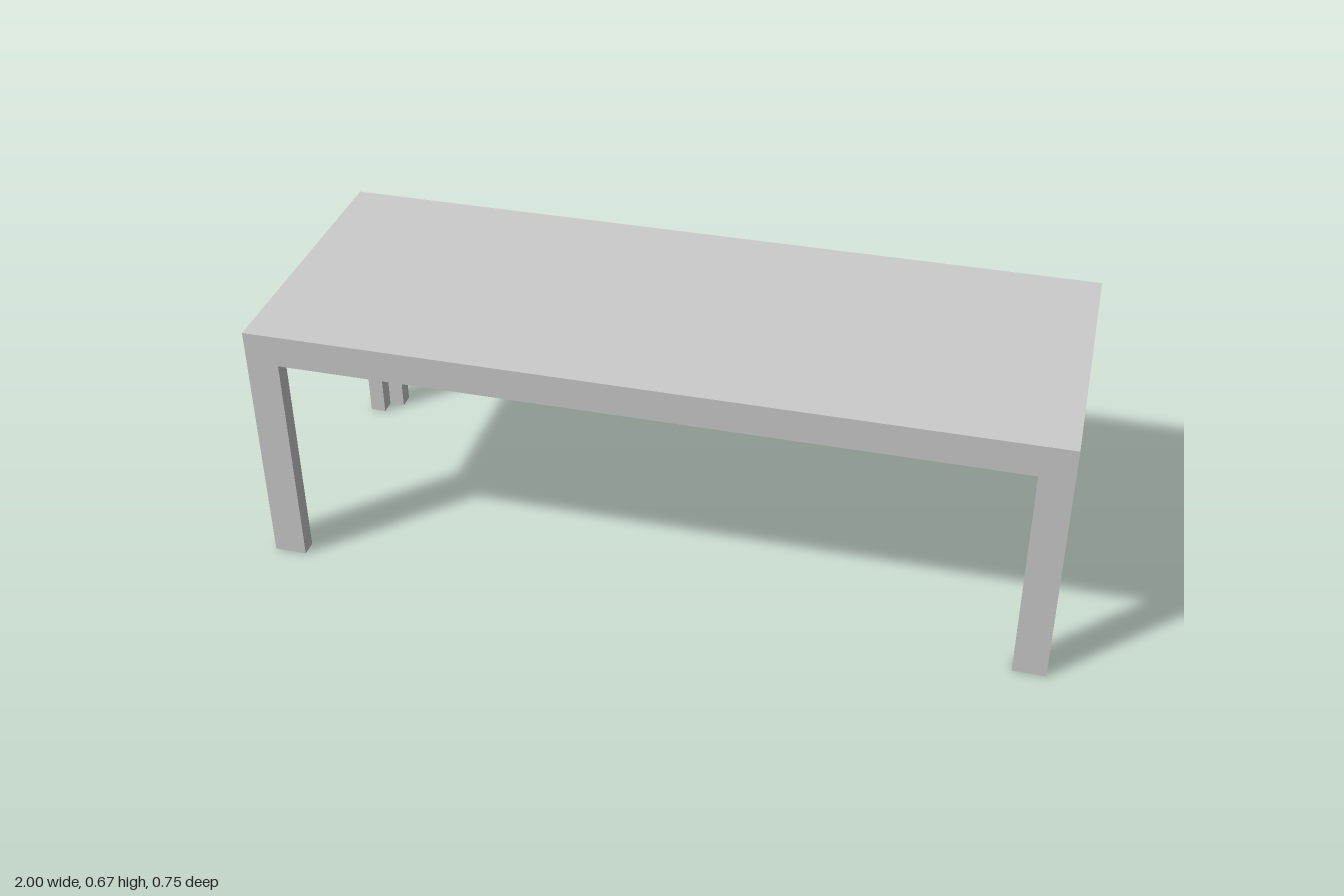
import * as THREE from 'three';

const W = 2, D = 0.747, H = 0.667; // overall size
const LEG = 0.083;                 // visible leg and apron width
const T = LEG / 2;                 // board thickness
const material = new THREE.MeshStandardMaterial({ color: 0xcccccc, flatShading: true });

// Upside-down U board: two leg halves joined by an apron, centred on its thickness
function frameBoard(width, legWidth, name) {
  const w = width / 2, top = H - T, i = w - legWidth, apron = H - LEG;
  const shape = new THREE.Shape([
    [-w, 0], [-i, 0], [-i, apron], [i, apron], [i, 0], [w, 0], [w, top], [-w, top],
  ].map(([x, y]) => new THREE.Vector2(x, y)));
  const geometry = new THREE.ExtrudeGeometry(shape, { depth: T, bevelEnabled: false });
  geometry.translate(0, 0, -T / 2);
  const mesh = new THREE.Mesh(geometry, material);
  mesh.name = name;
  return mesh;
}

export function createModel() {
  const table = new THREE.Group();
  table.name = 'table';

  // Flat top over the hollow frame
  const top = new THREE.Mesh(new THREE.BoxGeometry(W, T, D), material);
  top.name = 'tableTop';
  top.position.y = H - T / 2;
  table.add(top);

  for (const s of [1, -1]) {
    // Long boards at front and back
    const long = frameBoard(W, LEG, s > 0 ? 'frontFrame' : 'backFrame');
    long.position.z = s * (D - T) / 2;
    table.add(long);

    // End boards fit between the long ones, making L-section legs
    const end = frameBoard(D - 2 * T, LEG - T, s > 0 ? 'leftFrame' : 'rightFrame');
    end.rotation.y = Math.PI / 2;
    end.position.x = s * (W - T) / 2;
    table.add(end);
  }
  return table;
}
